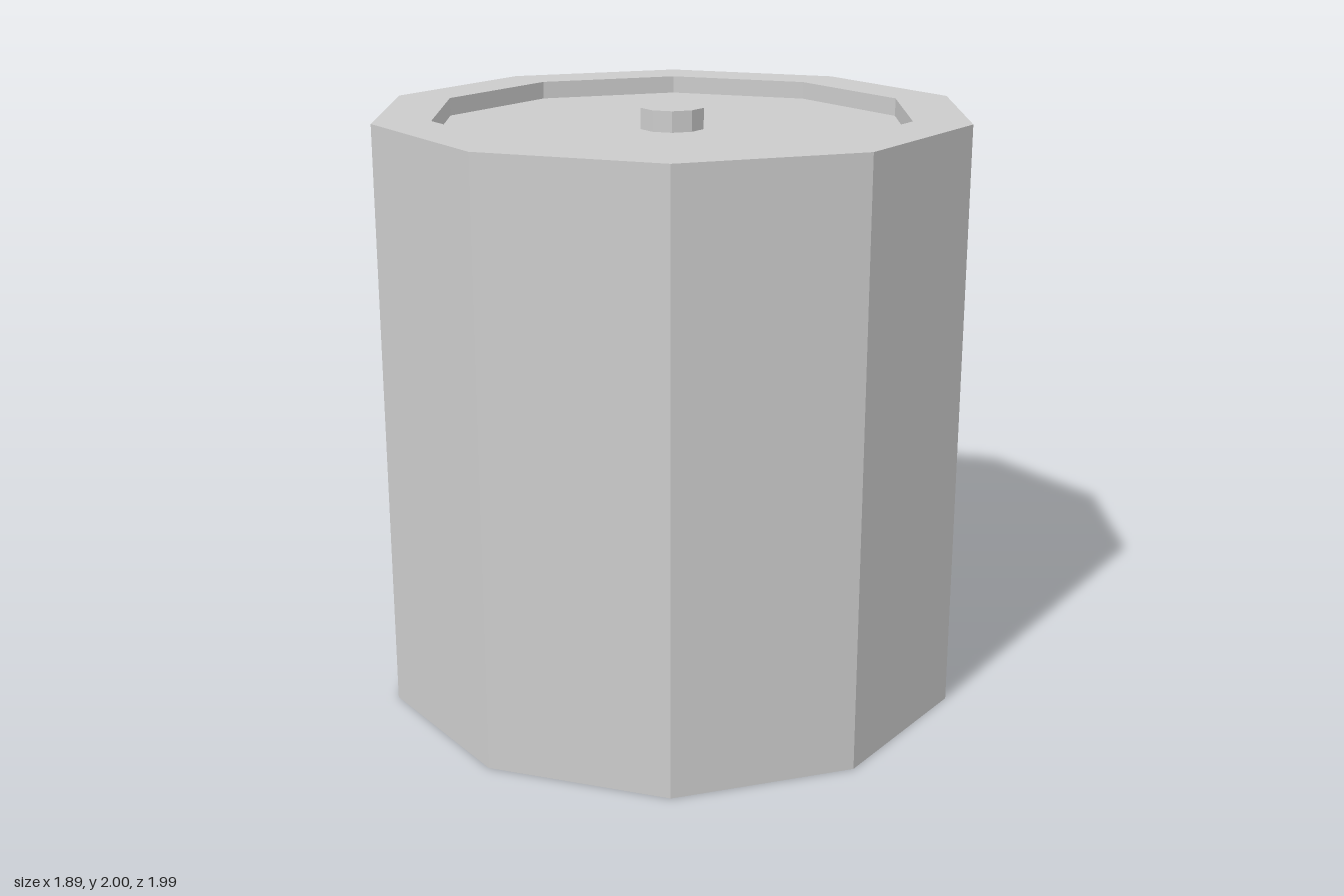
import * as THREE from 'three';

const SIDES = 10;

export function createModel() {
  const group = new THREE.Group();
  const material = new THREE.MeshStandardMaterial({ color: 0xcccccc, flatShading: true });

  const topY = 1.99, floorY = 1.93;

  // Ten-sided can: base, outer wall, flat rim, recess wall and recessed lid
  const profile = [
    [0, 0], [0.995, 0], [0.995, topY], [0.803, topY], [0.803, floorY], [0, floorY],
  ].map(([r, y]) => new THREE.Vector2(r, y));
  const body = new THREE.Mesh(new THREE.LatheGeometry(profile, SIDES), material);
  body.name = 'body';
  group.add(body);

  // Small knob standing on the recessed lid
  const knobHeight = 2 - floorY;
  const knob = new THREE.Mesh(new THREE.CylinderGeometry(0.109, 0.109, knobHeight, SIDES), material);
  knob.position.y = floorY + knobHeight / 2;
  knob.name = 'knob';
  group.add(knob);

  return group;
}
